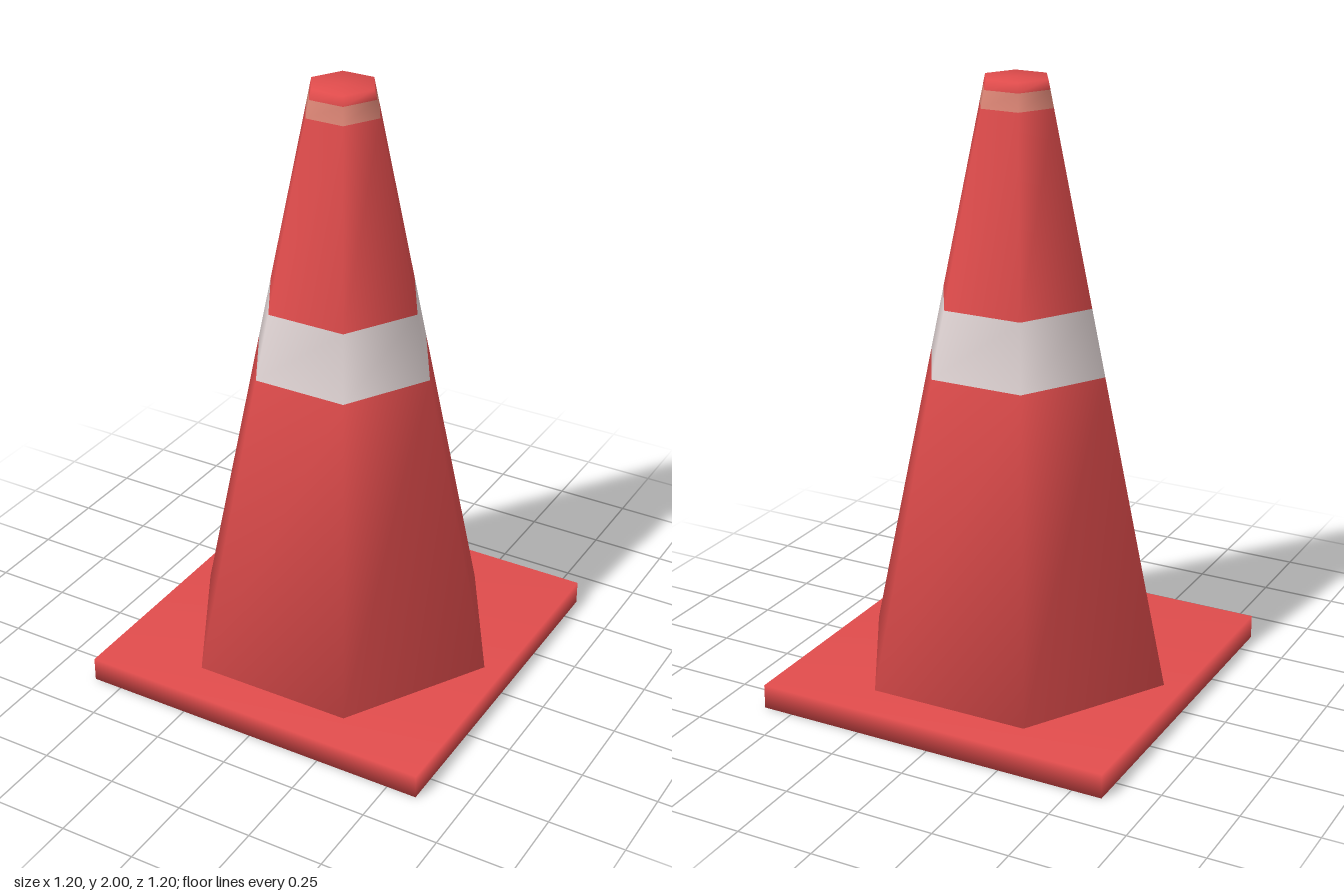
import * as THREE from 'three';
import { mergeVertices } from 'three/addons/utils/BufferGeometryUtils.js';

// Share vertices across edges so the shading is smooth all over
function smooth(geometry) {
  geometry.deleteAttribute('normal');
  geometry.deleteAttribute('uv');
  const merged = mergeVertices(geometry);
  merged.computeVertexNormals();
  return merged;
}

function material(name, color) {
  const m = new THREE.MeshStandardMaterial({ color });
  m.name = name;
  return m;
}

export function createModel() {
  const red = material('coneRed', 0xe04c4c);
  const white = material('bandWhite', 0xe0d4d4);
  const pale = material('bandPaleRed', 0xdd8676);
  const group = new THREE.Group();
  group.name = 'trafficCone';

  // Square foot
  const base = new THREE.Mesh(smooth(new THREE.BoxGeometry(1.2, 0.08, 1.2)), red);
  base.name = 'base';
  base.position.y = 0.04;
  group.add(base);

  // Six-sided body, with its rings moved to the edges of the bands
  const levels = [2, 1.97, 1.915, 1.305, 1.09, 0.08];
  const rows = levels.length - 1;
  const bandMaterial = [0, 2, 0, 1, 0];
  const sides = 6;
  const radiusAt = (y) => THREE.MathUtils.mapLinear(y, 0.08, 2, 0.535, 0.108);
  const body = new THREE.CylinderGeometry(1, 1, rows, sides, rows, false, Math.PI / 6);
  const p = body.attributes.position;
  for (let i = 0; i < p.count; i++) {
    const y = levels[Math.round(rows / 2 - p.getY(i))];
    const r = radiusAt(y);
    p.setXYZ(i, p.getX(i) * r, y, p.getZ(i) * r);
  }
  const cone = smooth(body);

  // One colour group per band on each side, then both end caps
  cone.clearGroups();
  for (let s = 0; s < sides; s++) {
    for (let b = 0; b < rows; b++) cone.addGroup((s * rows + b) * 6, 6, bandMaterial[b]);
  }
  cone.addGroup(sides * rows * 6, sides * 6, 0);
  const coneMesh = new THREE.Mesh(cone, [red, white, pale]);
  coneMesh.name = 'coneBody';
  group.add(coneMesh);

  return group;
}
